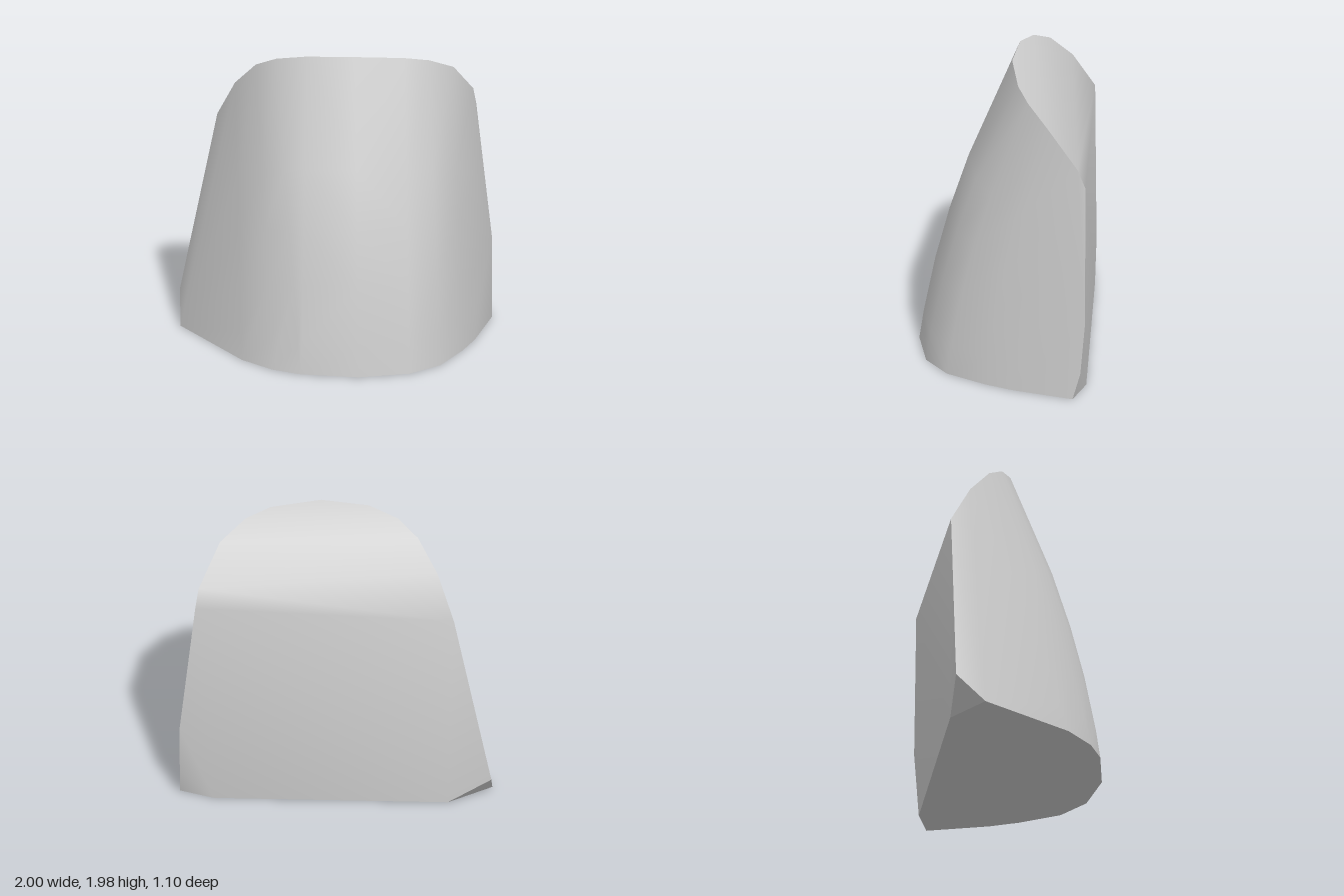
import * as THREE from 'three';
import { toCreasedNormals } from 'three/addons/utils/BufferGeometryUtils.js';
import { ConvexGeometry } from 'three/addons/geometries/ConvexGeometry.js';

export function createModel() {
  const group = new THREE.Group();
  group.name = 'cutStone';
  const stone = new THREE.MeshStandardMaterial({ color: 0xcccccc });
  stone.name = 'stone grey';

  // Columns of the curved front: base x, z; rim x, y, z; forward bulge
  const columns = [
    [-1, -0.36, -0.76, 1.39, -0.55, 0],
    [-0.62, 0.23, -0.65, 1.66, -0.41, 0.2],
    [-0.43, 0.40, -0.52, 1.84, -0.27, 0.28],
    [-0.25, 0.485, -0.39, 1.92, -0.17, 0.32],
    [-0.25, 0.485, -0.20, 1.965, -0.09, 0.32],
    [0.12, 0.545, 0.11, 1.975, -0.05, 0.34],
    [0.45, 0.49, 0.43, 1.945, -0.10, 0.32],
    [0.65, 0.35, 0.59, 1.90, -0.17, 0.28],
    [0.80, 0.10, 0.75, 1.80, -0.30, 0.2],
    [0.88, -0.08, 0.88, 1.57, -0.50, 0.1],
    [1, -0.47, 0.90, 1.45, -0.55, 0],
  ];
  const points = [];
  for (const [bx, bz, rx, ry, rz, bulge] of columns) {
    const base = new THREE.Vector3(bx, 0, bz);
    const rim = new THREE.Vector3(rx, ry, rz);
    const levels = bulge ? [0, 0.1, 0.29, 0.47, 0.66, 1] : [0, 1];
    for (const t of levels) {
      const p = base.clone().lerp(rim, t);
      p.z += bulge * t * (1 - t);
      points.push(p);
    }
  }

  // Flat back with chipped lower corners
  points.push(
    new THREE.Vector3(-0.72, 0, -0.55),
    new THREE.Vector3(-1, 0.18, -0.55),
    new THREE.Vector3(0.78, 0, -0.55),
    new THREE.Vector3(1, 0.18, -0.52),
    new THREE.Vector3(1, 0.53, -0.55),
  );

  // Soft shading across the curves, sharp base and chips
  const geometry = toCreasedNormals(new ConvexGeometry(points), THREE.MathUtils.degToRad(42));
  const mesh = new THREE.Mesh(geometry, stone);
  mesh.name = 'stoneBlock';
  group.add(mesh);
  return group;
}
